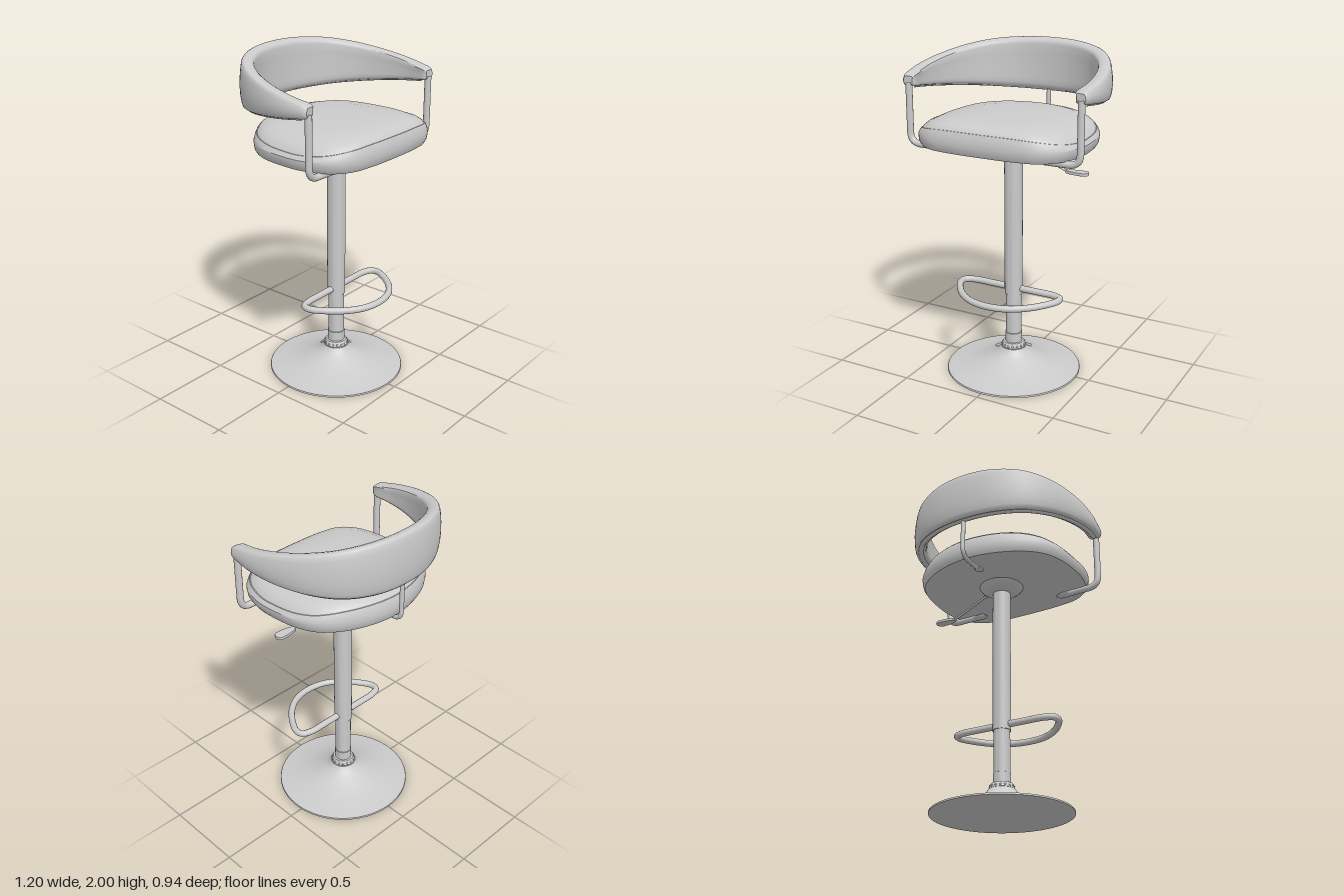
import * as THREE from 'three';
import { toCreasedNormals } from 'three/addons/utils/BufferGeometryUtils.js';

const grey = new THREE.MeshStandardMaterial({ color: 0xcccccc });
const V = (x, y, z) => new THREE.Vector3(x, y, z);
const AXIS_Z = 0.04; // the pedestal stands slightly forward of centre

function mesh(name, geometry) {
  const m = new THREE.Mesh(geometry, grey);
  m.name = name;
  return m;
}

// Skin closed rings of equal length and close both ends with fans
function loft(rings, crease = 0.6) {
  const n = rings[0].length;
  const pos = [];
  const tri = (...pts) => pts.forEach((p) => pos.push(p.x, p.y, p.z));
  const centre = (r) => r.reduce((s, p) => s.add(p), V(0, 0, 0)).divideScalar(n);
  const first = rings[0], last = rings[rings.length - 1];
  const c0 = centre(first), c1 = centre(last);
  for (let j = 0; j < n; j++) {
    const k = (j + 1) % n;
    for (let i = 0; i < rings.length - 1; i++) {
      const a = rings[i], b = rings[i + 1];
      tri(a[j], a[k], b[k]);
      tri(a[j], b[k], b[j]);
    }
    tri(c0, first[k], first[j]);
    tri(c1, last[j], last[k]);
  }
  const g = new THREE.BufferGeometry();
  g.setAttribute('position', new THREE.Float32BufferAttribute(pos, 3));
  return toCreasedNormals(g, crease);
}

function lathe(name, points, segments = 64) {
  const g = new THREE.LatheGeometry(points.map(([r, y]) => new THREE.Vector2(r, y)), segments);
  const m = mesh(name, toCreasedNormals(g, 0.6));
  m.position.z = AXIS_Z;
  return m;
}

// Bent rod: straight runs joined by rounded corners
function rod(name, pts, radius, bend = 0.07) {
  const path = new THREE.CurvePath();
  let from = pts[0];
  for (let i = 1; i < pts.length - 1; i++) {
    const a = pts[i].clone().add(pts[i - 1].clone().sub(pts[i]).setLength(bend));
    const b = pts[i].clone().add(pts[i + 1].clone().sub(pts[i]).setLength(bend));
    path.add(new THREE.LineCurve3(from, a));
    path.add(new THREE.QuadraticBezierCurve3(a, pts[i], b));
    from = b;
  }
  path.add(new THREE.LineCurve3(from, pts[pts.length - 1]));
  return mesh(name, new THREE.TubeGeometry(path, 60, radius, 14));
}

function ball(name, p, r, sx = 1, sy = 1, sz = 1) {
  const m = mesh(name, new THREE.SphereGeometry(r, 20, 14));
  m.position.copy(p);
  m.scale.set(sx, sy, sz);
  return m;
}

// Mirror a half outline, given from the middle to the +x side
const mirrorHalf = (half) => half.slice(1).reverse().map(([x, z]) => [-x, z]);

function createSeat() {
  const half = [[0, 0.467], [0.2, 0.461], [0.35, 0.434], [0.455, 0.35], [0.506, 0.2], [0.507, 0.06],
    [0.485, -0.09], [0.435, -0.2], [0.35, -0.28], [0.2, -0.353], [0, -0.387]];
  const loop = [...half, ...mirrorHalf(half.slice(0, -1))];
  const outline = new THREE.CatmullRomCurve3(loop.map(([x, z]) => V(x, 0, z)), true)
    .getSpacedPoints(96).slice(0, 96);
  // [scale, height, share of the seam's rise and fall]
  const layers = [[0.92, 1.45, 0], [0.965, 1.455, 0], [0.99, 1.475, 0], [1, 1.505, 0], [1, 1.53, 0.3],
    [0.985, 1.562, 0.8], [0.965, 1.584, 1], [0.955, 1.584, 1], [0.94, 1.595, 0.95], [0.88, 1.612, 0.7],
    [0.75, 1.627, 0.35], [0.5, 1.637, 0.1], [0.25, 1.64, 0]];
  const rings = layers.map(([s, y, w]) => outline.map((p) =>
    V(p.x * s, y - 0.045 * w * Math.pow(Math.abs(p.x) / 0.51, 4), AXIS_Z + (p.z - AXIS_Z) * s)));
  return mesh('seatCushion', loft(rings, 0.5));
}

function createBackrest() {
  const group = new THREE.Group();
  group.name = 'backrest';
  const half = [[0, -0.468], [0.2, -0.441], [0.38, -0.352], [0.5, -0.213], [0.573, -0.04],
    [0.6, 0.14], [0.586, 0.31]];
  const path = new THREE.CatmullRomCurve3(
    [...mirrorHalf(half), ...half].map(([x, z]) => V(x, 0, z)), false, 'centripetal');
  // Section: [inward share of thickness, share of height], up the outside and down the inside
  const section = [[0.3, 0], [0.17, 0.035], [0.1, 0.1], [0.03, 0.25], [0, 0.45], [0.03, 0.65], [0.1, 0.85],
    [0.17, 0.95], [0.24, 0.985], [0.35, 1], [0.6, 0.995], [0.85, 0.965], [0.96, 0.935], [1, 0.88],
    [0.97, 0.7], [0.95, 0.45], [0.96, 0.2], [0.95, 0.1], [0.88, 0.03], [0.75, 0]];
  const frame = (u) => {
    const p = path.getPointAt(u), t = path.getTangentAt(u);
    const k = (0.305 - p.z) / 0.765;
    return { p, inward: V(-t.z, 0, t.x).normalize(), low: 1.775 - 0.085 * k, high: 1.848 + 0.152 * k };
  };
  const steps = [[0, 0.7], [0.003, 0.86], [0.008, 0.96], [0.015, 1]];
  const stations = [...steps];
  for (let i = 1; i < 72; i++) stations.push([0.015 + 0.97 * i / 72, 1]);
  stations.push(...steps.map(([u, s]) => [1 - u, s]).reverse());
  const rings = stations.map(([u, s]) => {
    const { p, inward, low, high } = frame(u);
    return section.map(([d, v]) => {
      const q = p.clone().addScaledVector(inward, 0.085 * (0.5 + (d - 0.5) * s));
      q.y = low + (high - low) * (0.5 + (v - 0.5) * s);
      return q;
    });
  });
  group.add(mesh('backCushion', loft(rings, 0.7)));

  // Rail running along the underside of the cushion
  const rail = [];
  for (let i = 0; i <= 40; i++) {
    const { p, inward, low } = frame(0.02 + 0.96 * i / 40);
    rail.push(p.addScaledVector(inward, 0.045).setY(low + 0.005));
  }
  group.add(mesh('backRail', new THREE.TubeGeometry(new THREE.CatmullRomCurve3(rail), 90, 0.016, 12)));
  return group;
}

function createSupports() {
  const group = new THREE.Group();
  group.name = 'backSupports';
  for (const s of [-1, 1]) {
    group.add(rod('armPost', [V(s * 0.545, 1.8, 0.297), V(s * 0.545, 1.44, 0.297), V(s * 0.33, 1.44, 0.297)], 0.02));
    group.add(ball('armPostFoot', V(s * 0.31, 1.437, 0.297), 0.05, 1.05, 0.28, 0.6));
  }
  group.add(rod('rearPost', [V(0, 1.72, -0.42), V(0, 1.45, -0.42), V(0, 1.447, -0.24)], 0.0135, 0.06));
  group.add(ball('rearPostFoot', V(0, 1.447, -0.235), 0.03, 0.8, 0.35, 1));
  return group;
}

function createPedestal() {
  const group = new THREE.Group();
  group.name = 'pedestal';
  // Trumpet base with a flat underside
  const flare = new THREE.SplineCurve([[0.413, 0.01], [0.33, 0.024], [0.24, 0.047], [0.16, 0.08],
    [0.105, 0.113], [0.078, 0.145]].map(([x, y]) => new THREE.Vector2(x, y)))
    .getPoints(24).map((p) => [p.x, p.y]);
  group.add(lathe('base', [[0, 0], [0.415, 0], [0.415, 0.007], ...flare, [0.05, 0.147]], 80));
  group.add(lathe('collar', [[0.07, 0.14], [0.074, 0.148], [0.07, 0.17], [0.064, 0.178], [0.05, 0.18]], 40));
  for (let i = 0; i < 16; i++) {
    const a = i / 16 * Math.PI * 2;
    group.add(ball('collarStud', V(Math.sin(a) * 0.07, 0.16, AXIS_Z + Math.cos(a) * 0.07), 0.0065));
  }
  group.add(lathe('lowerColumn', [[0.052, 0.14], [0.052, 0.24], [0.049, 0.242], [0.049, 0.52]], 40));
  group.add(lathe('upperColumn', [[0.045, 0.5], [0.055, 0.5], [0.055, 1.43]], 40));
  group.add(lathe('seatMount', [[0.05, 1.402], [0.065, 1.404], [0.1, 1.418], [0.125, 1.436], [0.137, 1.452]], 48));
  return group;
}

function createFootrest() {
  const half = [[0, 0.04], [0.15, 0.04], [0.27, 0.043], [0.325, 0.066], [0.333, 0.11], [0.3, 0.18],
    [0.22, 0.28], [0.12, 0.347], [0, 0.37]];
  const loop = [...half, ...mirrorHalf(half.slice(0, -1))].map(([x, z]) => V(x, 0.535, z));
  return mesh('footrest', new THREE.TubeGeometry(new THREE.CatmullRomCurve3(loop, true), 120, 0.02, 14, true));
}

function createLever() {
  const group = new THREE.Group();
  group.name = 'heightLever';
  group.add(rod('leverRod', [V(0.08, 1.44, 0.065), V(0.14, 1.43, 0.065), V(0.35, 1.332, 0.065), V(0.45, 1.33, 0.065)], 0.007, 0.03));
  // Flat paddle with rounded ends
  const s = new THREE.Shape();
  s.moveTo(0.36, -0.012);
  s.quadraticCurveTo(0.4, -0.028, 0.46, -0.028);
  s.absarc(0.462, 0, 0.028, -Math.PI / 2, Math.PI / 2, false);
  s.quadraticCurveTo(0.4, 0.028, 0.36, 0.012);
  const g = new THREE.ExtrudeGeometry(s, { depth: 0.012, bevelSize: 0.003, bevelThickness: 0.003, bevelSegments: 2 });
  g.rotateX(-Math.PI / 2).translate(0, 1.323, 0.065);
  group.add(mesh('leverPaddle', g));
  return group;
}

export function createModel() {
  const model = new THREE.Group();
  model.name = 'barStool';
  model.add(createSeat(), createBackrest(), createSupports(), createPedestal(), createFootrest(), createLever());
  return model;
}
